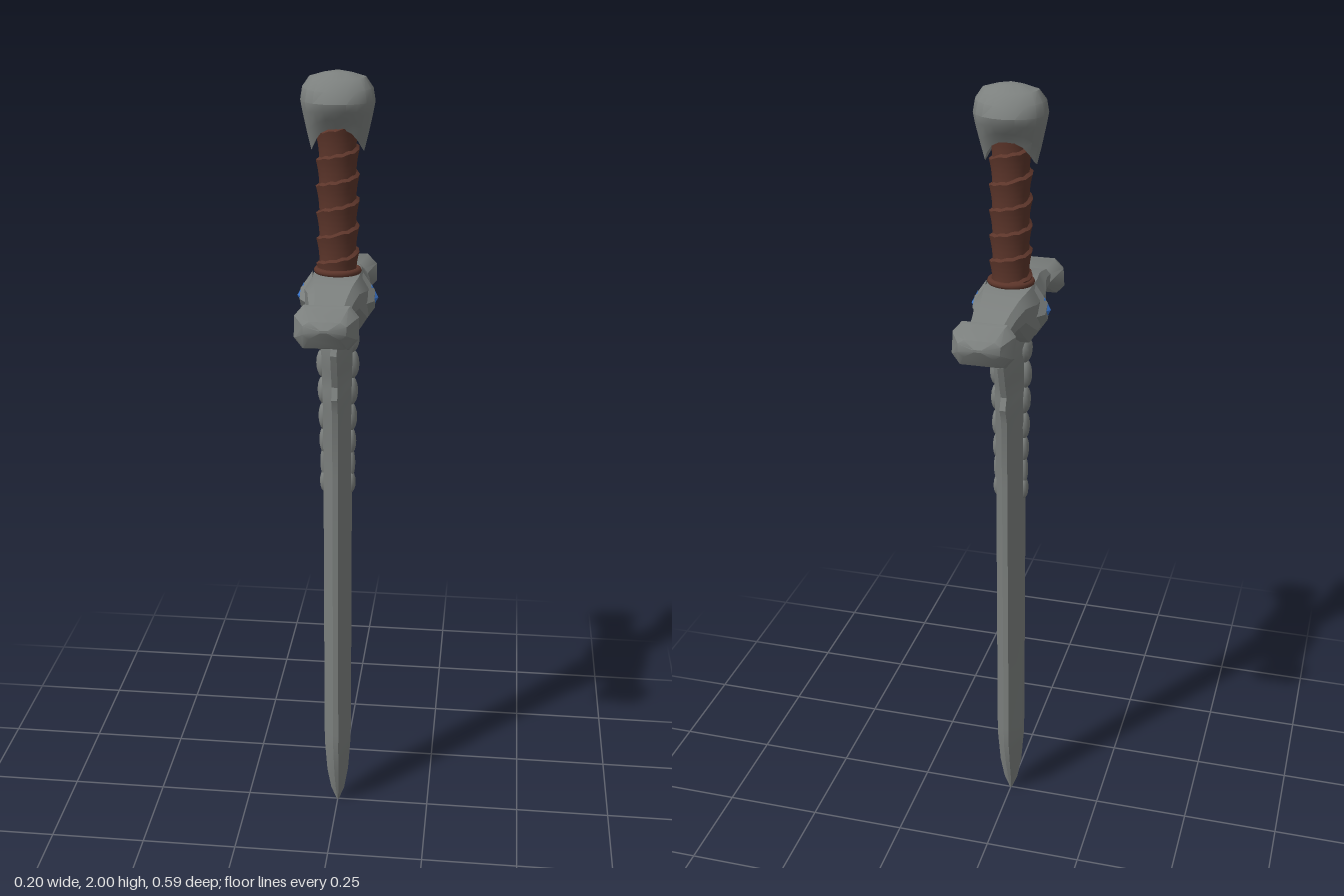
import * as THREE from 'three';
import { toCreasedNormals } from 'three/addons/utils/BufferGeometryUtils.js';

const steel = new THREE.MeshStandardMaterial({ name: 'steel', color: 0x7c807e });
const leather = new THREE.MeshStandardMaterial({ name: 'leather', color: 0x5c352a });
const gemBlue = new THREE.MeshStandardMaterial({ name: 'gemBlue', color: 0x3c78d0 });

// Skin a list of closed rings of [x, y, z] points and cap both ends
function loft(rings, crease) {
  const n = rings[0].length;
  const pos = rings.flat(2);
  const idx = [];
  for (let i = 0; i < rings.length - 1; i++) {
    for (let j = 0; j < n; j++) {
      const a = i * n + j, b = i * n + (j + 1) % n;
      idx.push(a, a + n, b, b, a + n, b + n);
    }
  }
  [0, rings.length - 1].forEach((r, end) => {
    const centre = pos.length / 3;
    for (let k = 0; k < 3; k++) pos.push(rings[r].reduce((s, p) => s + p[k], 0) / n);
    for (let j = 0; j < n; j++) {
      const a = r * n + j, b = r * n + (j + 1) % n;
      if (end) idx.push(centre, b, a);
      else idx.push(centre, a, b);
    }
  });
  // Turn the faces outward if the signed volume is negative
  let volume = 0;
  const v = (i) => new THREE.Vector3().fromArray(pos, i * 3);
  for (let i = 0; i < idx.length; i += 3) volume += v(idx[i]).dot(v(idx[i + 1]).cross(v(idx[i + 2])));
  if (volume < 0) idx.reverse();
  const g = new THREE.BufferGeometry();
  g.setAttribute('position', new THREE.Float32BufferAttribute(pos, 3));
  g.setIndex(idx);
  return toCreasedNormals(g, crease);
}

// Ring of points around the vertical axis
function around(n, fn) {
  return Array.from({ length: n }, (_, i) => fn((i / n) * Math.PI * 2));
}

function createBlade() {
  // [height, half width, half thickness]
  const stations = [
    [0, 0.002, 0.003], [0.04, 0.014, 0.018], [0.1, 0.032, 0.028], [0.19, 0.052, 0.034],
    [0.24, 0.052, 0.035], [0.6, 0.057, 0.035], [1.0, 0.062, 0.035], [1.18, 0.067, 0.036],
    [1.22, 0.082, 0.037], [1.25, 0.07, 0.037], [1.29, 0.084, 0.038], [1.34, 0.1, 0.039],
    [1.38, 0.08, 0.04], [1.44, 0.072, 0.04],
  ];
  // Bevelled edges, twin ridges and a shallow central groove on both faces
  const rings = stations.map(([y, w, t]) => {
    const ridge = w * 0.24, edge = t * 0.2;
    return [
      [t * 0.8, y, 0], [t, y, ridge], [edge, y, w], [-edge, y, w], [-t, y, ridge],
      [-t * 0.8, y, 0], [-t, y, -ridge], [-edge, y, -w], [edge, y, -w], [t, y, -ridge],
    ];
  });
  return loft(rings, 0.45);
}

function createGuard() {
  // Half of the guard: [top z, top y, bottom z, bottom y, half width]
  const half = [
    [0, 1.522, 0, 1.385, 0.076], [0.04, 1.522, 0.035, 1.387, 0.076],
    [0.07, 1.52, 0.068, 1.415, 0.07], [0.1, 1.514, 0.095, 1.445, 0.062],
    [0.15, 1.502, 0.15, 1.448, 0.053], [0.222, 1.483, 0.212, 1.44, 0.045],
    [0.23, 1.507, 0.253, 1.41, 0.075], [0.245, 1.505, 0.265, 1.415, 0.07],
    [0.28, 1.482, 0.284, 1.442, 0.05], [0.294, 1.466, 0.294, 1.46, 0.012],
  ];
  const mirrored = half.slice(1).reverse().map(([zt, yt, zb, yb, w]) => [-zt, yt, -zb, yb, w]);
  const corners = [[1, 0.25], [1, 0.75], [0.72, 1], [-0.72, 1], [-1, 0.75], [-1, 0.25], [-0.72, 0], [0.72, 0]];
  const rings = [...mirrored, ...half].map(([zt, yt, zb, yb, w]) =>
    corners.map(([x, t]) => [x * w, yb + (yt - yb) * t, zb + (zt - zb) * t]));
  return loft(rings, 0.5);
}

function createGrip() {
  // Spiral leather wrap with uneven overlapping edges
  const rings = [];
  for (let i = 0; i <= 64; i++) {
    const y = 1.515 + (i / 64) * 0.375;
    rings.push(around(20, (a) => {
      const turn = (y - 1.515) / 0.062 + a / (Math.PI * 2);
      const r = 0.041 + 0.008 * Math.pow(turn - Math.floor(turn), 2);
      return [Math.cos(a) * r * 1.08, y, Math.sin(a) * r * 0.94];
    }));
  }
  return loft(rings, 0.7);
}

function createPommel() {
  // [height, x radius, z radius, drop of the side points]
  const stations = [
    [1.9, 0.045, 0.036, 0.02], [1.872, 0.062, 0.042, 0.057], [1.895, 0.072, 0.056, 0.04],
    [1.915, 0.083, 0.072, 0.01], [1.932, 0.088, 0.076, 0], [1.958, 0.083, 0.066, -0.004],
    [1.982, 0.066, 0.04, -0.004], [1.995, 0.034, 0.018, 0], [2.0, 0.004, 0.003, 0],
  ];
  const rings = stations.map(([y, rx, rz, drop]) => around(20, (a) =>
    [Math.cos(a) * rx, y - drop * Math.pow(Math.abs(Math.cos(a)), 3), Math.sin(a) * rz]));
  return loft(rings, 0.55);
}

export function createModel() {
  const model = new THREE.Group();
  model.name = 'sword';
  const add = (name, geometry, material, parent = model) => {
    const mesh = new THREE.Mesh(geometry, material);
    mesh.name = name;
    parent.add(mesh);
    return mesh;
  };

  add('blade', createBlade(), steel);
  add('crossGuard', createGuard(), steel);
  add('grip', createGrip(), leather);
  add('pommel', createPommel(), steel);

  // Leather collar where the grip meets the guard
  const collar = add('gripCollar', new THREE.TorusGeometry(0.045, 0.008, 8, 24), leather);
  collar.rotation.x = Math.PI / 2;
  collar.position.y = 1.528;
  collar.scale.set(1.1, 0.95, 1);

  // Diamond setting, gem and hanging ornament on each face
  const settingShape = toCreasedNormals(new THREE.CylinderGeometry(0.022, 0.066, 0.03, 4), 0.2);
  settingShape.rotateZ(-Math.PI / 2);
  const gemShape = toCreasedNormals(new THREE.OctahedronGeometry(1), 0.2);
  const beadShape = new THREE.SphereGeometry(1, 12, 8);
  // [height, half height, half width, half depth]
  const beads = [
    [1.355, 0.035, 0.031, 0.02], [1.29, 0.04, 0.019, 0.02], [1.22, 0.038, 0.022, 0.017],
    [1.15, 0.038, 0.018, 0.015], [1.085, 0.036, 0.016, 0.013], [1.025, 0.042, 0.011, 0.011],
    [0.972, 0.03, 0.015, 0.012],
  ];
  for (const side of [1, -1]) {
    const face = new THREE.Group();
    face.name = side > 0 ? 'leftOrnament' : 'rightOrnament';
    face.rotation.y = side > 0 ? 0 : Math.PI;
    model.add(face);

    add('gemSetting', settingShape, steel, face).position.set(0.076, 1.458, 0);
    const gem = add('gem', gemShape, gemBlue, face);
    gem.position.set(0.083, 1.462, 0);
    gem.scale.set(0.016, 0.032, 0.023);

    beads.forEach(([y, hy, hz, hx], i) => {
      const bead = add('chainLink' + (i + 1), beadShape, steel, face);
      bead.position.set(0.034, y, 0);
      bead.scale.set(hx, hy, hz);
    });
  }
  return model;
}
